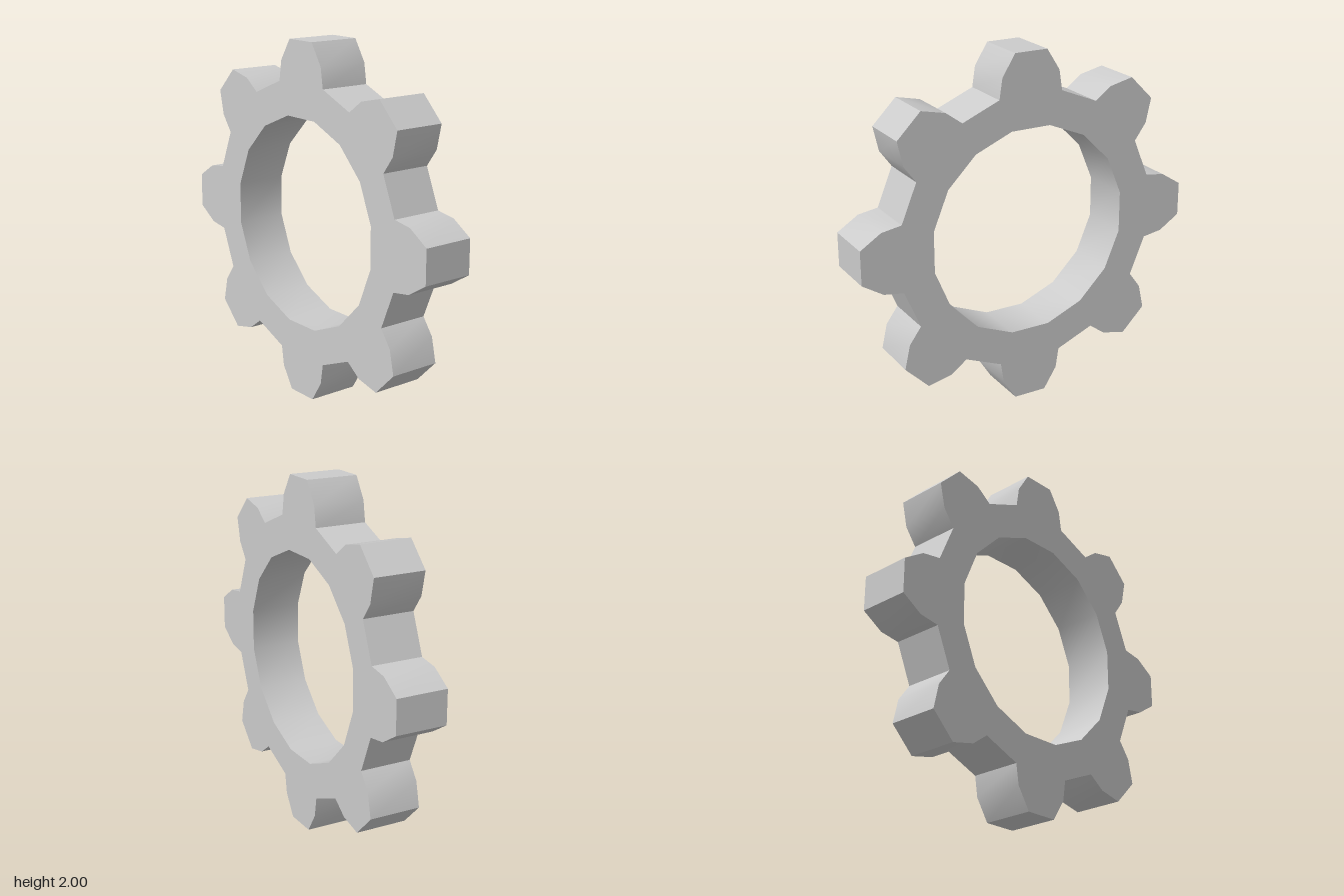
import * as THREE from 'three';
import { toCreasedNormals } from 'three/addons/utils/BufferGeometryUtils.js';

const TEETH = 8;
const BORE_SIDES = 16;
const BORE_RADIUS = 0.596;
const DEPTH = 0.294;

// One tooth pointing up: root, shoulder and tip, mirrored
const half = [[0.19, 0.765], [0.172, 0.88], [0.096, 1]];
const tooth = [...half, ...half.map(([x, y]) => [-x, y]).reverse()];

export function createModel() {
  const group = new THREE.Group();
  group.name = 'gear';

  // Toothed outline, counter-clockwise
  const outline = [];
  for (let i = 0; i < TEETH; i++) {
    const a = (i / TEETH) * Math.PI * 2;
    for (const [x, y] of tooth) {
      outline.push(new THREE.Vector2(x, y).rotateAround(new THREE.Vector2(), a));
    }
  }
  const shape = new THREE.Shape(outline);

  // Faceted bore with a flat side at the top
  const bore = [];
  for (let i = 0; i < BORE_SIDES; i++) {
    const a = -((i + 0.5) / BORE_SIDES) * Math.PI * 2;
    bore.push(new THREE.Vector2(Math.cos(a), Math.sin(a)).multiplyScalar(BORE_RADIUS));
  }
  shape.holes.push(new THREE.Path(bore));

  // Bore and tooth flanks shade smoothly, all other edges stay sharp
  const extruded = new THREE.ExtrudeGeometry(shape, { depth: DEPTH, bevelEnabled: false });
  extruded.translate(0, 1, -DEPTH / 2);
  const material = new THREE.MeshStandardMaterial({ color: 0xcccccc });
  const ring = new THREE.Mesh(toCreasedNormals(extruded, 0.5), material);
  ring.name = 'toothedRing';
  group.add(ring);
  return group;
}
